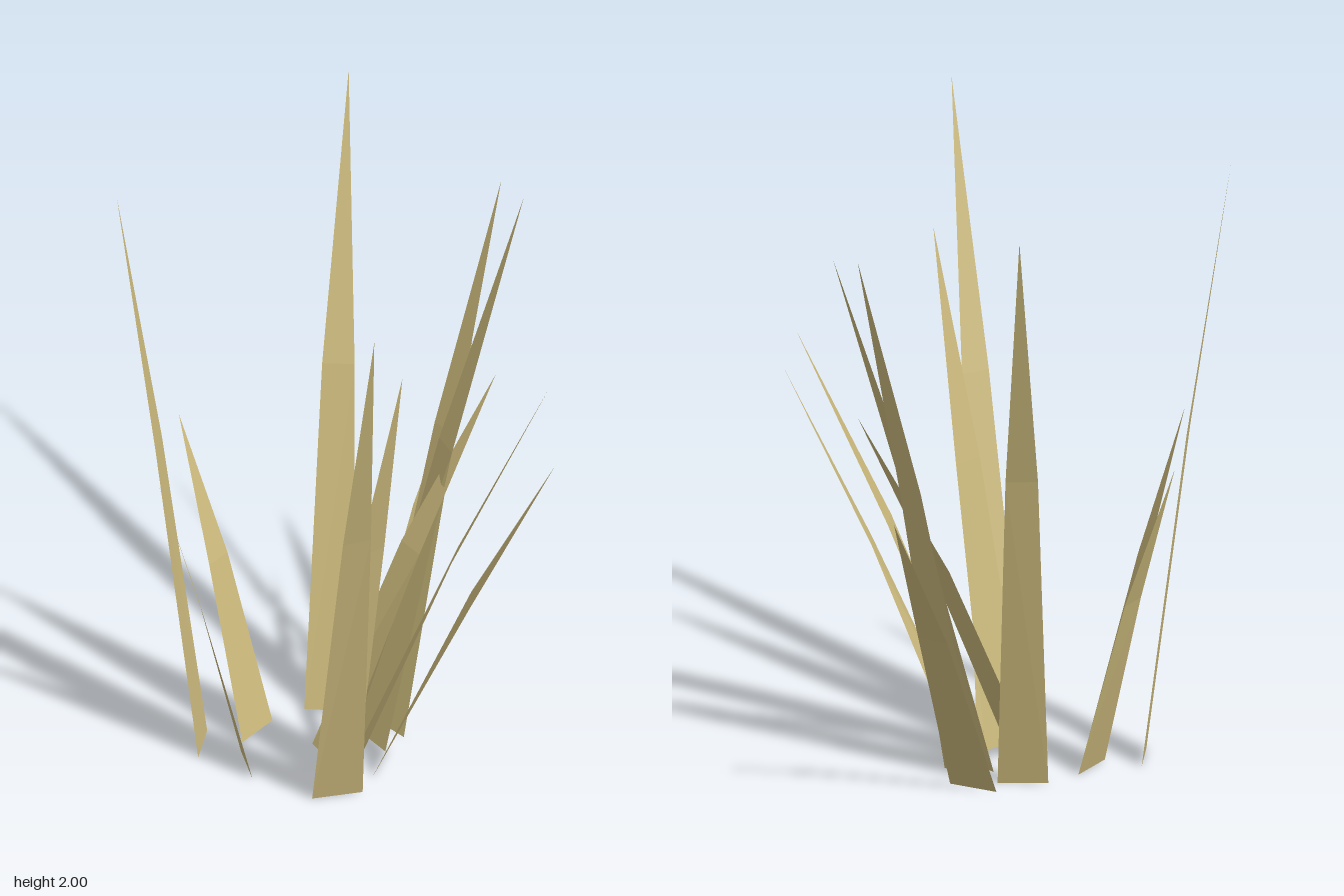
import * as THREE from 'three';

// Each blade: height, then [x, z] of base corners, mid corners and tip
const BLADES = [
  [1.98, [-0.37, -0.36], [-0.485, -0.255], [-0.485, -0.44], [-0.555, -0.38], [-0.605, -0.513]],
  [1.09, [-0.36, -0.2], [-0.425, -0.057], [-0.5, -0.235], [-0.545, -0.15], [-0.647, -0.255]],
  [1.05, [-0.175, -0.283], [-0.325, -0.24], [-0.245, -0.42], [-0.335, -0.395], [-0.33, -0.557]],
  [2.0, [-0.057, -0.275], [0.057, -0.167], [0.15, -0.455], [0.227, -0.39], [0.387, -0.63]],
  [1.05, [0.113, -0.223], [0.17, -0.073], [0.377, -0.287], [0.41, -0.19], [0.643, -0.335]],
  [1.82, [0.08, -0.12], [0.09, 0.04], [0.317, -0.1], [0.322, -0.005], [0.547, -0.062]],
  [1.8, [0.003, -0.09], [-0.005, 0.07], [0.285, -0.035], [0.262, 0.06], [0.56, 0.035]],
  [1.23, [-0.157, -0.103], [-0.182, 0.053], [0.13, -0.025], [0.125, 0.073], [0.417, 0.08]],
  [1.4, [-0.15, 0.1], [-0.04, -0.015], [0.09, 0.285], [0.16, 0.225], [0.337, 0.455]],
  [1.21, [-0.13, 0.165], [0, 0.07], [0.07, 0.4], [0.135, 0.325], [0.267, 0.58]],
  [1.62, [-0.265, 0.06], [-0.105, 0.065], [-0.235, 0.235], [-0.135, 0.235], [-0.19, 0.4]],
  [1.98, [-0.347, 0.145], [-0.2, 0.21], [-0.418, 0.395], [-0.328, 0.42], [-0.473, 0.627]],
];
const MID = 0.55; // height of the bend, as a share of the blade

// A thin tapering strip: a quad below the bend and a triangle above it
function bladeGeometry([height, ...corners]) {
  const levels = [0, 0, MID, MID, 1];
  const points = corners.flatMap(([x, z], i) => [x, levels[i] * height, z]);
  const geometry = new THREE.BufferGeometry();
  geometry.setAttribute('position', new THREE.Float32BufferAttribute(points, 3));
  geometry.setIndex([0, 1, 3, 0, 3, 2, 2, 3, 4]);
  const flat = geometry.toNonIndexed();
  flat.computeVertexNormals();
  return flat;
}

export function createModel() {
  const tuft = new THREE.Group();
  tuft.name = 'grassTuft';
  const material = new THREE.MeshStandardMaterial({
    color: 0xcbb97c, flatShading: true, side: THREE.DoubleSide,
  });
  BLADES.forEach((blade, i) => {
    const mesh = new THREE.Mesh(bladeGeometry(blade), material);
    mesh.name = `grassBlade${i + 1}`;
    tuft.add(mesh);
  });
  return tuft;
}
